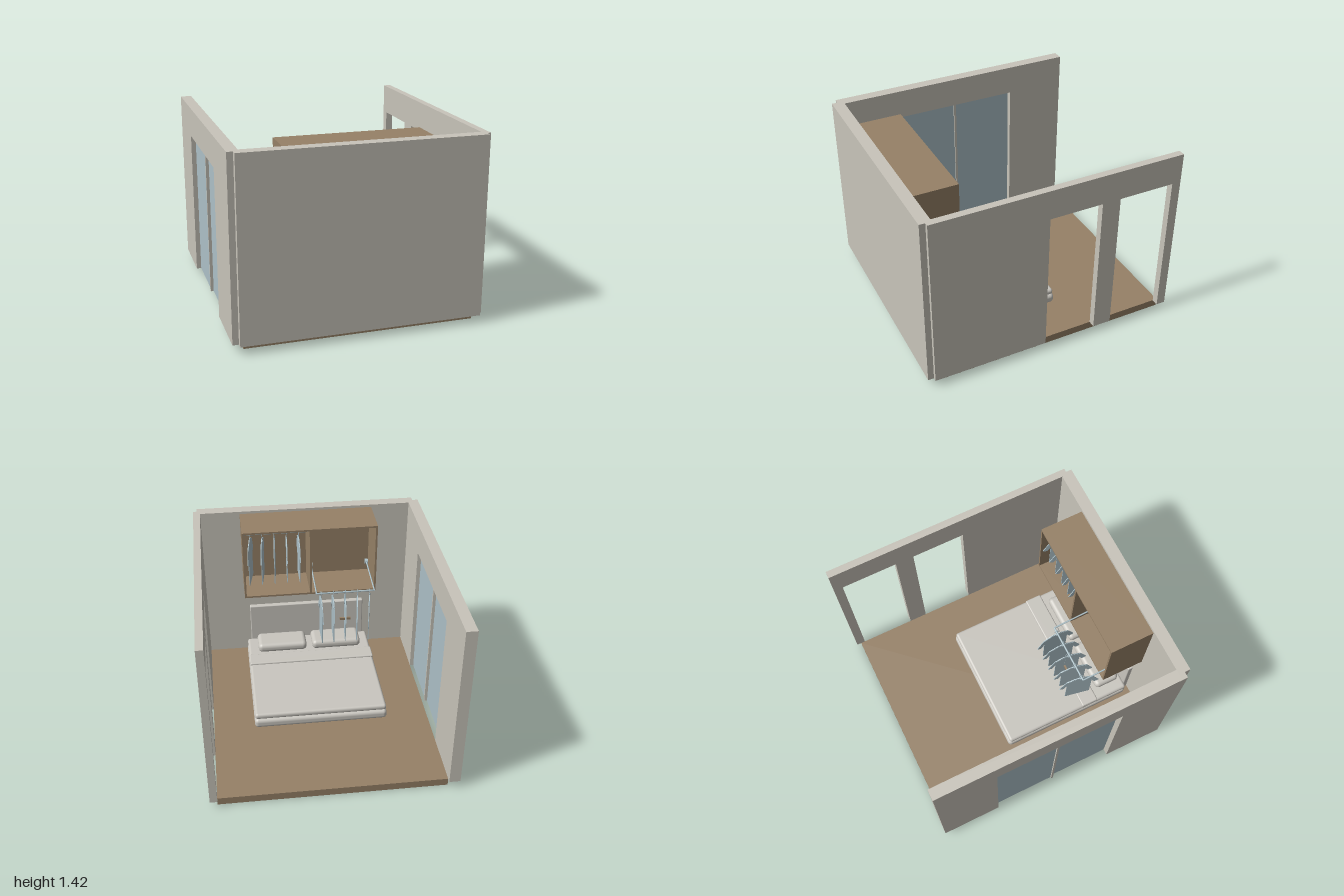
import * as THREE from 'three';
import { RoundedBoxGeometry } from 'three/addons/geometries/RoundedBoxGeometry.js';

const material = (name, color, side = THREE.FrontSide) => {
  const m = new THREE.MeshStandardMaterial({ color, side });
  m.name = name;
  return m;
};

export function createModel() {
  const wall = material('plaster', 0xc8c4ba);
  const wood = material('wood', 0x968167);
  const blue = material('pale blue', 0xadc1c8, THREE.DoubleSide);
  const linen = material('linen', 0xc9c6bf);

  const model = new THREE.Group();
  model.name = 'bedroom';

  const add = (parent, name, geometry, mat) => {
    const mesh = new THREE.Mesh(geometry, mat);
    mesh.name = name;
    parent.add(mesh);
    return mesh;
  };
  const group = (name) => {
    const g = new THREE.Group();
    g.name = name;
    model.add(g);
    return g;
  };
  // Box given by its limits on each axis
  const place = (mesh, [x0, x1], [y0, y1], [z0, z1]) => {
    mesh.position.set((x0 + x1) / 2, (y0 + y1) / 2, (z0 + z1) / 2);
    return mesh;
  };
  const box = (parent, name, mat, x, y, z) =>
    place(add(parent, name, new THREE.BoxGeometry(x[1] - x[0], y[1] - y[0], z[1] - z[0]), mat), x, y, z);
  const soft = (parent, name, x, y, z, r) =>
    place(add(parent, name, new RoundedBoxGeometry(x[1] - x[0], y[1] - y[0], z[1] - z[0], 4, r), linen), x, y, z);
  const bar = (parent, name, from, to, r, mat = blue) => {
    const curve = new THREE.LineCurve3(new THREE.Vector3(...from), new THREE.Vector3(...to));
    return add(parent, name, new THREE.TubeGeometry(curve, 1, r, 10), mat);
  };
  // Side profile in (z, y) extruded along x
  const sideExtrude = (points, x0, x1) => {
    const shape = new THREE.Shape(points.map(([z, y]) => new THREE.Vector2(z, y)));
    return new THREE.ExtrudeGeometry(shape, { depth: x1 - x0, bevelEnabled: false })
      .rotateY(-Math.PI / 2).translate(x1, 0, 0);
  };

  // Floor and walls
  const base = 0.06, top = 1.42, head = 1.19;
  box(model, 'floor', wood, [-0.85, 0.875], [0, base], [-0.965, 0.91]);
  box(model, 'frontWallOuter', wall, [-0.89, 0.9], [base, top], [0.955, 1]);
  box(model, 'frontWallInner', wall, [-0.935, 0.93], [base, top], [0.91, 0.955]);

  // Side wall with openings cut up from its bottom edge
  const sideWall = (name, x0, x1, openings) => {
    const points = [[-1, base]];
    for (const [a, b] of openings) points.push([a, base], [a, head], [b, head], [b, base]);
    points.push([0.91, base], [0.91, top], [-1, top]);
    add(model, name, sideExtrude(points, x0, x1), wall);
  };
  sideWall('leftWall', 0.875, 0.93, [[-0.93, -0.495], [-0.35, 0.065]]);
  sideWall('rightWall', -0.935, -0.85, [[-0.525, 0.47]]);

  // Sliding window in the right wall
  const sliding = group('slidingWindow');
  box(sliding, 'rearPane', blue, [-0.899, -0.893], [base, head], [-0.525, -0.02]);
  box(sliding, 'frontPane', blue, [-0.887, -0.881], [base, head], [-0.03, 0.47]);
  box(sliding, 'windowPost', wall, [-0.91, -0.87], [base, head], [-0.033, -0.015]);

  // Bed
  const bed = group('bed');
  soft(bed, 'bedBase', [-0.52, 0.55], [base, 0.14], [-0.22, 0.87], 0.03);
  soft(bed, 'mattress', [-0.515, 0.545], [0.14, 0.19], [-0.21, 0.87], 0.022);
  soft(bed, 'blanketFold', [-0.515, 0.545], [0.18, 0.205], [0.46, 0.6], 0.011);
  soft(bed, 'headboard', [-0.48, 0.51], [base, 0.52], [0.865, 0.908], 0.008);
  for (const [a, b] of [[-0.43, -0.01], [0.04, 0.46]])
    soft(bed, 'pillow', [a, b], [0.185, 0.265], [0.63, 0.84], 0.035);

  // Hanging wardrobe, open at the back-facing side
  const wardrobe = group('wardrobe');
  const cx = [-0.535, 0.555], cy = [0.8, 1.4], cz = [0.57, 0.909], t = 0.015;
  box(wardrobe, 'wardrobeTop', wood, cx, [cy[1] - t, cy[1]], cz);
  box(wardrobe, 'wardrobeBottom', wood, cx, [cy[0], cy[0] + t], cz);
  box(wardrobe, 'wardrobeBack', wood, cx, [cy[0] + t, cy[1] - t], [0.895, cz[1]]);
  for (const x of [cx[0], 0, cx[1] - t])
    box(wardrobe, 'wardrobeUpright', wood, [x, x + t], [cy[0] + t, cy[1] - t], [cz[0], 0.895]);

  // Shirt on a hanger, its hook at the origin
  const half = [[0.03, -0.045], [0.105, -0.085], [0.16, -0.2], [0.125, -0.215], [0.1, -0.16], [0.1, -0.42]];
  const outline = [[0, -0.075], ...half, ...half.map(([z, y]) => [-z, y]).reverse()].reverse();
  const shirtGeometry = sideExtrude(outline, -0.003, 0.003);
  const hookGeometry = new THREE.TorusGeometry(0.014, 0.003, 6, 14, Math.PI * 1.5).rotateY(Math.PI / 2);
  const addShirt = (parent, x, y, z, yaw) => {
    const g = new THREE.Group();
    g.name = 'hangingShirt';
    add(g, 'shirt', shirtGeometry, blue);
    add(g, 'hangerHook', hookGeometry, blue);
    bar(g, 'hangerStem', [0, -0.013, 0], [0, -0.05, 0], 0.003);
    for (const s of [-1, 1])
      bar(g, 'hangerArm', [0, -0.045, 0], [0, -0.09, s * 0.1], 0.005);
    g.position.set(x, y, z);
    g.rotation.y = yaw;
    parent.add(g);
  };

  // Rod with shirts inside the wardrobe
  bar(wardrobe, 'clothesRod', [t, 1.3, 0.735], [cx[1] - t, 1.3, 0.735], 0.007);
  // Swing-out rod lowered in front of the other bay
  const lift = group('wardrobeLift');
  const arms = [-0.495, -0.02];
  for (const x of arms) {
    bar(lift, 'liftArm', [x, 0.93, 0.83], [x, 0.9, 0.41], 0.006);
    const pivot = add(lift, 'liftPivot', new THREE.CylinderGeometry(0.022, 0.022, 0.024, 16).rotateZ(Math.PI / 2), blue);
    pivot.position.set(x, 0.93, 0.83);
  }
  bar(lift, 'liftRod', [arms[0], 0.9, 0.41], [arms[1], 0.9, 0.41], 0.007);
  bar(lift, 'pullStick', [-0.255, 0.9, 0.39], [-0.255, 0.66, 0.39], 0.004);
  box(lift, 'pullHandle', wood, [-0.3, -0.21], [0.645, 0.665], [0.384, 0.397]);

  for (let i = 0; i < 5; i++) {
    const yaw = -0.19 * (1 - i / 4);
    addShirt(wardrobe, 0.09 + i * 0.1, 1.3, 0.735, -0.19 * (i / 4));
    addShirt(lift, -0.457 + i * 0.1, 0.9, 0.41, yaw);
  }
  return model;
}
